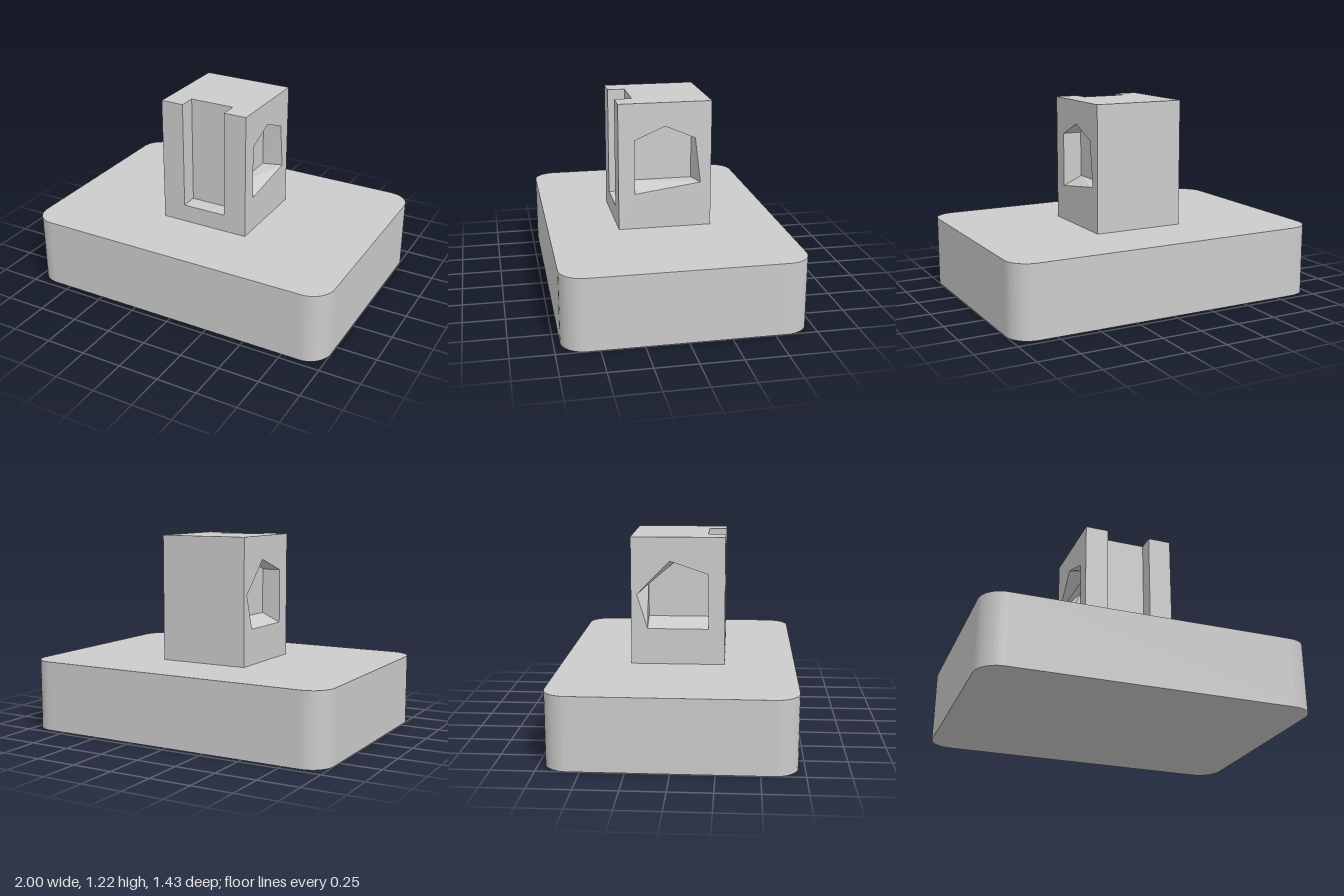
import * as THREE from 'three';

const BASE_TOP = 0.435, TOP = 1.215, HALF = 0.285, CORE = 0.165;

const shapeOf = (pts) => new THREE.Shape(pts.map(([x, y]) => new THREE.Vector2(x, y)));
const extrude = (shape, depth, curveSegments = 5) =>
  new THREE.ExtrudeGeometry(shape, { depth, bevelEnabled: false, curveSegments });

export function createModel() {
  const group = new THREE.Group();
  const material = new THREE.MeshStandardMaterial({ color: 0xcccccc, flatShading: true });
  const add = (name, geometry) => {
    const mesh = new THREE.Mesh(geometry, material);
    mesh.name = name;
    group.add(mesh);
    return mesh;
  };

  // Rounded rectangular base
  const w = 1, d = 0.713, r = 0.14;
  const outline = new THREE.Shape();
  outline.absarc(w - r, d - r, r, 0, Math.PI / 2);
  outline.absarc(-w + r, d - r, r, Math.PI / 2, Math.PI);
  outline.absarc(-w + r, -d + r, r, Math.PI, Math.PI * 1.5);
  outline.absarc(w - r, -d + r, r, Math.PI * 1.5, Math.PI * 2);
  add('base', extrude(outline, BASE_TOP).rotateX(-Math.PI / 2));

  // Post core: solid foot, then a section with the front slot cut out
  const slotFloor = 0.545, slotX = 0.14, slotZ = 0.178;
  const foot = new THREE.BoxGeometry(CORE * 2, slotFloor - BASE_TOP, HALF * 2);
  add('postFoot', foot.translate(0, (slotFloor + BASE_TOP) / 2, 0));
  const section = shapeOf([
    [-CORE, -HALF], [-slotX, -HALF], [-slotX, -slotZ], [slotX, -slotZ],
    [slotX, -HALF], [CORE, -HALF], [CORE, HALF], [-CORE, HALF],
  ]);
  add('slottedPost', extrude(section, TOP - slotFloor).rotateX(-Math.PI / 2).translate(0, slotFloor, 0));

  // Side walls: a recess that runs from a skewed mouth to a house-shaped floor.
  // Points are [z, y], in the same order for the floor and the mouths.
  const recessFloor = [[0.185, 0.71], [0.185, 0.99], [0, 1.07], [-0.185, 0.99], [-0.185, 0.71]];
  const rightMouth = [[0.185, 0.655], [0.185, 0.99], [0, 1.07], [-0.185, 0.99], [-0.22, 0.71]];
  const leftMouth = [[0.185, 0.655], [0.185, 0.99], [-0.05, 1.07], [-0.25, 0.865], [-0.185, 0.655]];

  const sideWall = (name, mouth, side) => {
    const flip = ([z, y]) => [-side * z, y];
    const outer = mouth.map(flip), inner = recessFloor.map(flip);
    const wall = shapeOf([[-HALF, BASE_TOP], [HALF, BASE_TOP], [HALF, TOP], [-HALF, TOP]]);
    wall.holes.push(shapeOf(outer));
    const geometry = extrude(wall, HALF - CORE);
    const p = geometry.attributes.position;
    for (let i = 0; i < p.count; i++) {
      if (p.getZ(i) > 0.001) continue;
      const k = outer.findIndex(([x, y]) => Math.hypot(p.getX(i) - x, p.getY(i) - y) < 1e-4);
      if (k >= 0) p.setXY(i, inner[k][0], inner[k][1]);
    }
    geometry.computeVertexNormals();
    add(name, geometry.rotateY(side * Math.PI / 2).translate(side * CORE, 0, 0));
  };
  sideWall('leftSideWall', rightMouth, 1);
  sideWall('rightSideWall', leftMouth, -1);

  return group;
}
